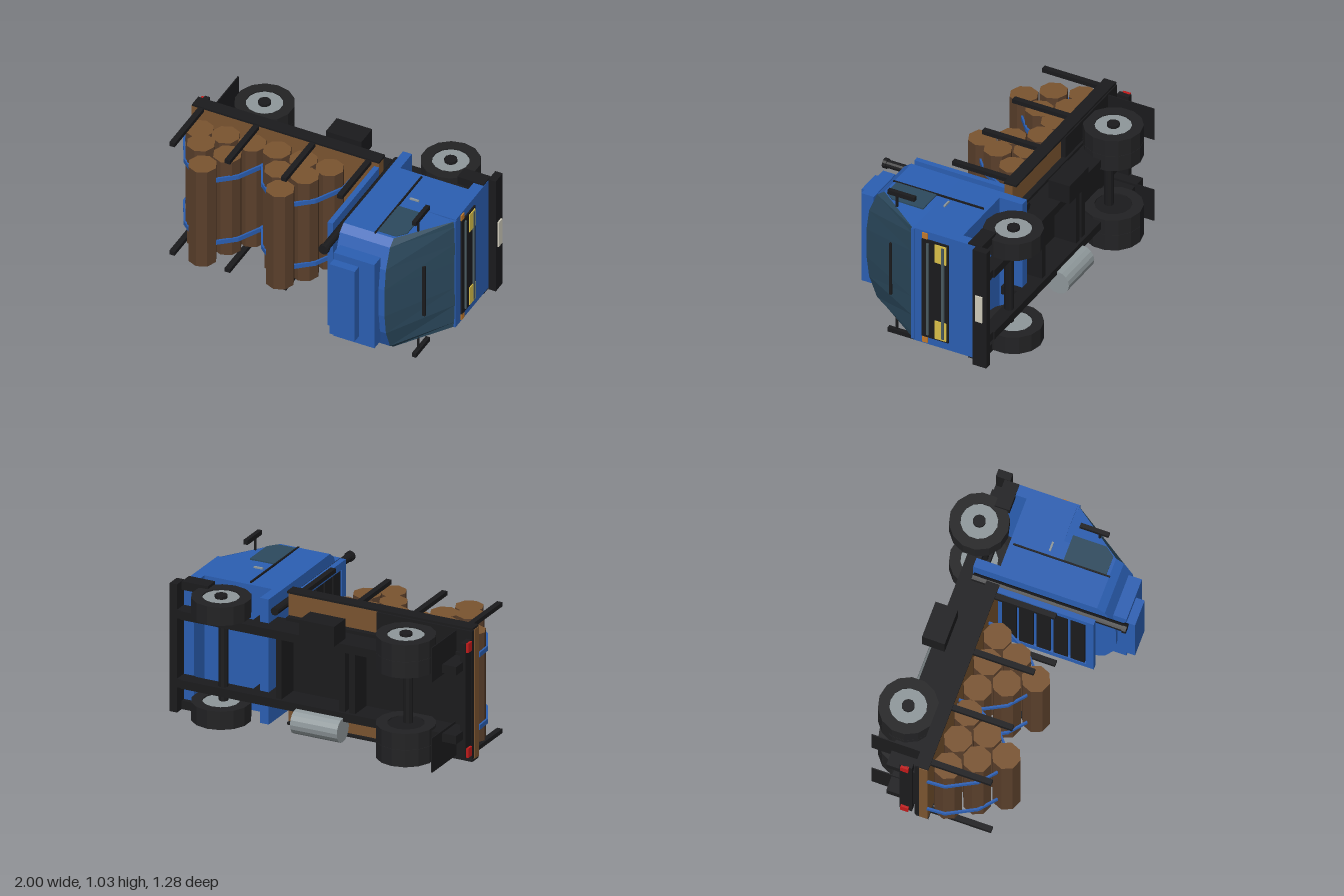
import * as THREE from 'three';

// Timber truck lying on its side: forward is +x, its roof faces +z, its width runs along y.
const MID = 0.517;
const mat = (color, double) => new THREE.MeshStandardMaterial({
  color, flatShading: true, side: double ? THREE.DoubleSide : THREE.FrontSide });
const blue = mat(0x2b5fb3, true), dark = mat(0x1b1b1d), wood = mat(0x7a5430), bark = mat(0x5a3f2b),
  glass = mat(0x2c4a5e, true), steel = mat(0x8f989b), yellow = mat(0xdcc24a), orange = mat(0xc47a2a),
  red = mat(0xc01a1a), ivory = mat(0xd0ccbc), slat = mat(0x4a5a60), rubber = mat(0x222224, true);

export function createModel() {
  const truck = new THREE.Group();
  truck.name = 'timberTruck';

  function add(name, geo, material, x = 0, y = 0, z = 0) {
    const m = new THREE.Mesh(geo, material);
    m.name = name;
    m.position.set(x, y, z);
    truck.add(m);
    return m;
  }
  // Box given by its limits
  function box(name, material, x0, x1, y0, y1, z0, z1) {
    return add(name, new THREE.BoxGeometry(x1 - x0, y1 - y0, z1 - z0), material,
      (x0 + x1) / 2, (y0 + y1) / 2, (z0 + z1) / 2);
  }
  // Same box on both sides of the truck
  function pair(name, material, x0, x1, y0, y1, z0, z1) {
    box(name + 'Left', material, x0, x1, y0, y1, z0, z1);
    box(name + 'Right', material, x0, x1, 2 * MID - y1, 2 * MID - y0, z0, z1);
  }
  const cyl = (r, len, n) => new THREE.CylinderGeometry(r, r, len, n);
  const outline = pts => new THREE.Shape(pts.map(p => new THREE.Vector2(...p)));

  // Chassis
  pair('chassisRail', dark, -0.97, 0.91, 0.715, 0.77, -0.47, -0.38);
  pair('subframeRail', dark, -0.97, 0.46, 0.715, 0.77, -0.38, -0.27);
  box('subframe', dark, -0.97, 0.28, 0.24, 0.79, -0.3, -0.26);
  box('rearFender', dark, -0.98, -0.33, 0.1, 0.935, -0.285, -0.25);
  for (const x of [-0.25, -0.18, 0.25])
    box('crossMember', dark, x - 0.02, x + 0.02, 0.3, 0.73, -0.45, -0.3);
  box('rearBar', dark, -0.985, -0.95, 0.14, 0.89, -0.38, -0.3);
  pair('tailLight', red, -1, -0.98, 0.83, 0.89, -0.37, -0.32);
  pair('mudflap', dark, -0.875, -0.868, 0.7, 0.925, -0.6, -0.27);
  box('batteryBox', dark, -0.17, 0.07, 0.77, 0.9, -0.53, -0.385);
  add('fuelTank', cyl(0.078, 0.32, 16), steel, -0.04, 0.21, -0.475).rotation.z = Math.PI / 2;

  // Wheels: single in front, twin at the rear
  function wheel(x, y, width, side, rim) {
    const w = width / 2;
    const profile = [[0.115, -w], [0.185, -w], [0.185, w], [0.115, w], [0.115, -w]]
      .map(p => new THREE.Vector2(...p));
    add('tire', new THREE.LatheGeometry(profile, 14), rubber, x, y, -0.455);
    add('rim', cyl(0.116, width * 0.85, 14), rim ? steel : dark, x, y, -0.455);
    if (rim) add('hub', cyl(0.04, 0.03, 10), dark, x, y + side * w * 0.9, -0.455);
  }
  for (const s of [1, -1]) {
    wheel(0.64, MID + s * 0.34, 0.12, s, true);
    wheel(-0.62, MID + s * 0.344, 0.11, s, true);
    wheel(-0.62, MID + s * 0.234, 0.106, s, false);
  }
  for (const x of [-0.62, 0.64]) add('axle', cyl(0.03, 0.6, 10), dark, x, MID, -0.425);

  // Load bed with edge rims and stakes
  box('deck', wood, -0.985, 0.285, 0.095, 0.94, -0.255, -0.2);
  pair('deckRim', dark, -0.98, 0.285, 0.94, 0.953, -0.28, -0.197);
  for (const x of [-0.92, -0.545, -0.165, 0.215])
    pair('stake', dark, x - 0.018, x + 0.018, 0.917, 0.945, -0.2, 0.19);

  // Headboard: a blue frame with dark slats
  pair('headboardPost', blue, 0.25, 0.285, 0.86, 0.91, -0.2, 0.42);
  box('headboardTop', blue, 0.25, 0.285, 0.17, 0.865, 0.37, 0.42);
  box('headboardPanel', blue, 0.268, 0.285, 0.17, 0.865, -0.2, 0.38);
  for (let i = 0; i < 5; i++)
    box('headboardSlat', dark, 0.255, 0.27, 0.17, 0.865, -0.17 + i * 0.11, -0.08 + i * 0.11);

  // Logs in two stacked bundles, each with two straps
  const stack = [[-1, 0], [0, 0], [1, 0], [-0.5, 1], [0.5, 1], [0, 2]];
  [-0.705, -0.18].forEach((cx, b) => {
    stack.forEach(([u, row], i) => {
      const len = 0.705 + ((i * 5 + b * 3) % 4) * 0.012;
      const y = MID + (((i * 3 + b) % 5) - 2) * 0.003;
      add('log', cyl(0.09, len, 8), [bark, wood, wood], cx + u * 0.178, y, -0.105 + row * 0.155);
    });
    const path = [[-0.28, -0.2], [-0.275, -0.09], [-0.18, 0.09], [-0.08, 0.175],
      [0.08, 0.175], [0.18, 0.09], [0.275, -0.09], [0.28, -0.2]];
    for (const y of [0.28, 0.755]) {
      for (let i = 0; i < path.length - 1; i++) {
        const [x0, z0] = path[i], [x1, z1] = path[i + 1];
        const m = add('strap', new THREE.BoxGeometry(Math.hypot(x1 - x0, z1 - z0) + 0.006, 0.03, 0.012),
          blue, cx + (x0 + x1) / 2, y, (z0 + z1) / 2);
        m.rotation.y = -Math.atan2(z1 - z0, x1 - x0);
      }
    }
  });

  // Cab lower body and skirts around the wheel arch
  box('cabBody', blue, 0.35, 0.94, 0.108, 0.926, -0.235, 0.07);
  box('cabRearSkirt', blue, 0.35, 0.41, 0.108, 0.926, -0.39, -0.235);
  box('cabFrontSkirt', blue, 0.87, 0.94, 0.108, 0.926, -0.37, -0.235);
  pair('cabStep', dark, 0.76, 0.938, 0.88, 0.935, -0.4, -0.305);

  // Cab upper body: a rounded roof section run forward to the top of the windshield
  const half = [[0.409, 0.07], [0.413, 0.405], [0.375, 0.455], [0.24, 0.51], [0.1, 0.528]];
  const section = [...half, ...half.map(([y, z]) => [-y, z]).reverse()];
  const roof = new THREE.ExtrudeGeometry(outline(section), { depth: 0.34, bevelEnabled: false });
  const pos = roof.attributes.position;
  for (let i = 0; i < pos.count; i++)
    pos.setXYZ(i, 0.35 + pos.getZ(i), MID + pos.getX(i), pos.getY(i));
  roof.computeVertexNormals();
  add('cabTop', roof, blue);

  // Front of the cab: the roof section tapers down to the sill
  function taper(name, material, points) {
    const verts = [], index = [];
    points.forEach(([y, z], i) => {
      verts.push(0.69, MID + y, z, 0.94, MID + y * 0.97, 0.07 + Math.max(0, z - 0.405) * 0.12);
      if (i) index.push(2 * i - 2, 2 * i, 2 * i - 1, 2 * i, 2 * i + 1, 2 * i - 1);
    });
    const geo = new THREE.BufferGeometry();
    geo.setAttribute('position', new THREE.Float32BufferAttribute(verts, 3));
    geo.setIndex(index);
    geo.computeVertexNormals();
    add(name, geo, material);
  }
  taper('windshield', glass, section.slice(1, -1));
  taper('cabCheekLeft', blue, section.slice(0, 2));
  taper('cabCheekRight', blue, section.slice(-2));
  box('windshieldSill', blue, 0.9, 0.943, 0.115, 0.919, 0.06, 0.083);
  box('wiper', dark, 0.822, 0.842, 0.307, 0.68, 0.275, 0.29);
  box('roofBoxLower', blue, 0.375, 0.65, 0.2, 0.835, 0.5, 0.585);
  box('roofBoxUpper', blue, 0.375, 0.545, 0.255, 0.785, 0.585, 0.64);
  box('rearWindow', dark, 0.343, 0.352, 0.27, 0.76, 0.12, 0.38);

  // Doors and mirrors
  const pane = new THREE.ExtrudeGeometry(
    outline([[0.572, 0.11], [0.742, 0.11], [0.742, 0.325], [0.695, 0.385], [0.572, 0.385]]),
    { depth: 0.014, bevelEnabled: false });
  for (const s of [1, -1])
    add('sideWindow', pane, glass, 0, MID + s * 0.41 + 0.007, 0).rotation.x = Math.PI / 2;
  pair('doorPillar', dark, 0.562, 0.572, 0.92, 0.936, -0.21, 0.41);
  pair('doorHandle', steel, 0.6, 0.66, 0.92, 0.936, 0.005, 0.017);
  pair('mirrorArm', dark, 0.78, 0.792, 0.89, 1.005, 0.26, 0.272);
  pair('mirror', dark, 0.773, 0.8, 1.004, 1.034, 0.14, 0.325);

  // Front end
  box('grille', dark, 0.935, 0.95, 0.163, 0.873, -0.175, 0.007);
  for (const z of [-0.035, -0.14]) box('grilleSlat', slat, 0.945, 0.96, 0.185, 0.85, z - 0.008, z + 0.008);
  pair('headlight', yellow, 0.945, 0.956, 0.73, 0.86, -0.162, -0.085);
  pair('indicator', orange, 0.935, 0.948, 0.875, 0.915, -0.03, 0.007);
  box('bumper', dark, 0.94, 0.99, 0.097, 0.935, -0.458, -0.365);
  pair('bumperMount', dark, 0.86, 0.945, 0.715, 0.77, -0.46, -0.37);
  box('plate', ivory, 0.985, 1, 0.425, 0.61, -0.433, -0.385);

  // Exhaust stack behind the cab
  add('exhaustStack', cyl(0.026, 0.97, 12), dark, 0.316, 0.85, 0.105).rotation.x = Math.PI / 2;
  add('exhaustTip', cyl(0.033, 0.025, 12), dark, 0.316, 0.85, 0.597).rotation.x = Math.PI / 2;
  return truck;
}
